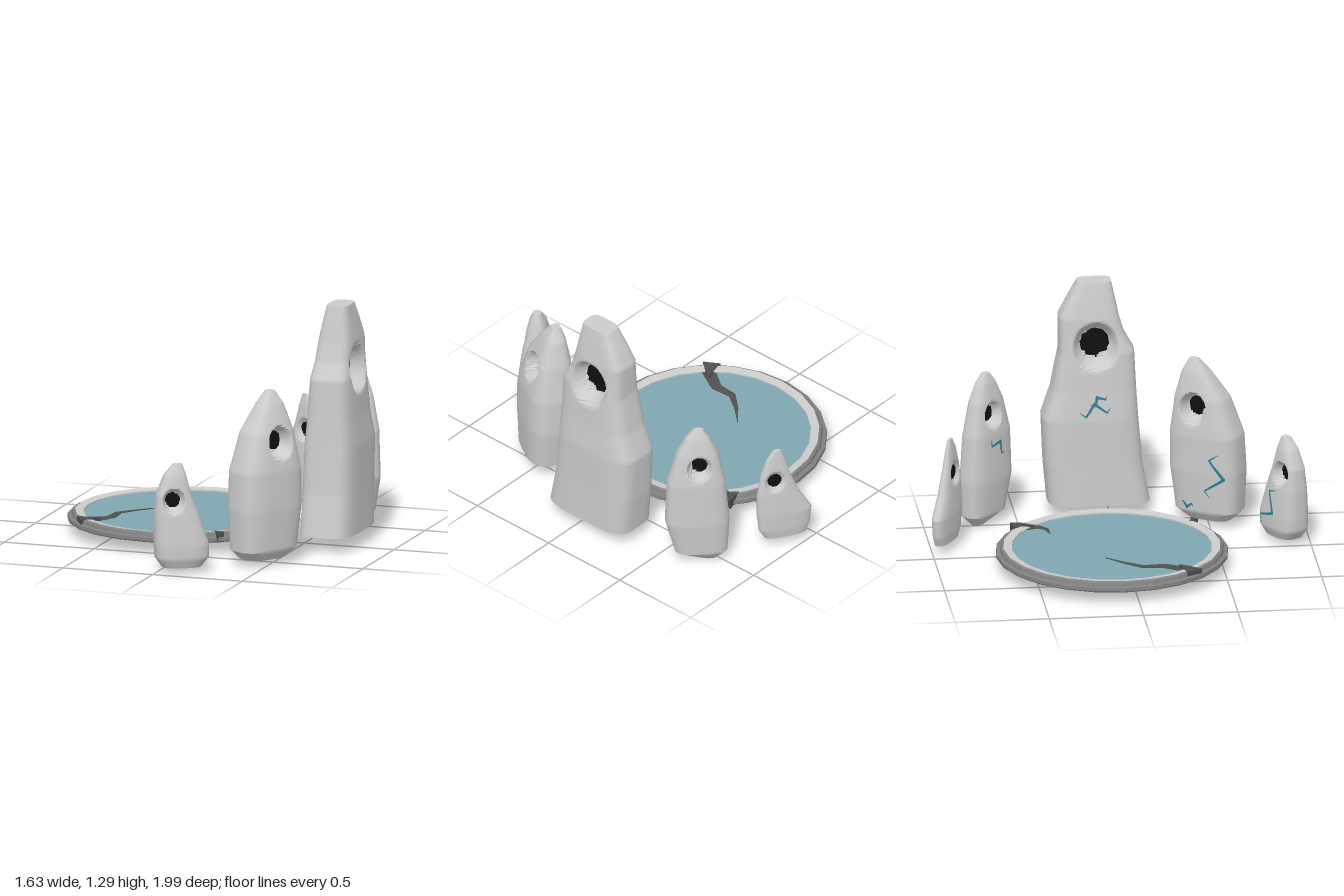
import * as THREE from 'three';
import { toCreasedNormals } from 'three/addons/utils/BufferGeometryUtils.js';

const paint = (color, extra = {}) => new THREE.MeshStandardMaterial({ color, ...extra });
const GREY = paint(0xcccccc);
const DARK = paint(0x505050);
const BLACK = paint(0x101010);
const WATER = paint(0x7fa6b1);
const TEAL = paint(0x2f7f92, { side: THREE.DoubleSide });

function add(parent, name, geometry, material) {
  const mesh = new THREE.Mesh(geometry, material);
  mesh.name = name;
  parent.add(mesh);
  return mesh;
}

function indexedGeometry(pos, index) {
  const g = new THREE.BufferGeometry();
  g.setAttribute('position', new THREE.Float32BufferAttribute(pos, 3));
  g.setIndex(index);
  return g;
}

const spow = (v, e) => Math.sign(v) * Math.abs(v) ** e;

// Section of a stone at a height: the outline rows are [y, uMin, uMax],
// and the thickness follows the width
function sectionAt({ rows, depth, lean }, y) {
  let i = 0;
  while (i < rows.length - 2 && y > rows[i + 1][0]) i++;
  const t = THREE.MathUtils.clamp((y - rows[i][0]) / (rows[i + 1][0] - rows[i][0]), 0, 1);
  const u0 = THREE.MathUtils.lerp(rows[i][1], rows[i + 1][1], t);
  const u1 = THREE.MathUtils.lerp(rows[i][2], rows[i + 1][2], t);
  const widest = Math.max(...rows.map((r) => r[2] - r[1]));
  const n = lean * (y / rows.at(-1)[0]) ** 3;
  return { u: (u0 + u1) / 2, a: (u1 - u0) / 2, n, b: depth * ((u1 - u0) / widest) ** 0.85 };
}

// Standing stone: rounded-box sections, pinched from both faces around its eye
function stoneGeometry(stone) {
  const { rows, hole: [hu, hy, hr], round } = stone;
  const around = 80, heights = [];
  for (let i = 0; i < rows.length - 1; i++) {
    const y0 = rows[i][0], y1 = rows[i + 1][0], steps = Math.ceil((y1 - y0) / 0.014);
    for (let k = 0; k < steps; k++) heights.push(y0 + (y1 - y0) * k / steps);
  }
  heights.push(rows.at(-1)[0]);
  const hn = sectionAt(stone, hy).n, pos = [], index = [];
  for (const y of heights) {
    const s = sectionAt(stone, y);
    for (let j = 0; j < around; j++) {
      const t = j / around * Math.PI * 2;
      const u = s.u + s.a * spow(Math.cos(t), round);
      const n = s.n + s.b * spow(Math.sin(t), round);
      const d = Math.hypot(u - hu, (y - hy) * 0.9) / hr;
      const keep = 0.25 + 0.75 * THREE.MathUtils.smoothstep(d, 0.85, 1.5);
      pos.push(u, y, hn + (n - hn) * keep);
    }
  }
  const last = heights.length - 1, base = heights.length * around;
  for (const y of [heights[0], heights[last]]) {
    const s = sectionAt(stone, y);
    pos.push(s.u, y, s.n);
  }
  for (let j = 0; j < around; j++) {
    const k = (j + 1) % around;
    for (let i = 0; i < last; i++) {
      const a = i * around + j, b = i * around + k, c = a + around, d = b + around;
      index.push(a, c, b, b, c, d);
    }
    index.push(base, j, k, base + 1, last * around + k, last * around + j);
  }
  return toCreasedNormals(indexedGeometry(pos, index), 0.6);
}

// Tapering zigzag vein on the inner face of a stone, from one (u, y) point to another
function veinGeometry(stone, [u0, y0, u1, y1]) {
  const steps = 24, pos = [], index = [], len = Math.hypot(u1 - u0, y1 - y0);
  const du = (y0 - y1) / len, dy = (u1 - u0) / len;
  for (let i = 0; i <= steps; i++) {
    const t = i / steps, zigzag = 0.12 * len * Math.asin(Math.sin(t * 9));
    const w = 0.002 + 0.009 * Math.sin(Math.PI * t);
    for (const off of [zigzag - w, zigzag + w]) {
      const u = u0 + (u1 - u0) * t + du * off, y = y0 + (y1 - y0) * t + dy * off;
      const s = sectionAt(stone, y), x = Math.min(1, Math.abs((u - s.u) / s.a));
      pos.push(u, y, s.n - s.b * (1 - x ** (2 / stone.round)) ** (stone.round / 2) - 0.004);
    }
    if (i < steps) index.push(2 * i, 2 * i + 1, 2 * i + 2, 2 * i + 1, 2 * i + 3, 2 * i + 2);
  }
  const g = indexedGeometry(pos, index);
  g.computeVertexNormals();
  return g;
}

// u runs along the stone, n through it; hole is [u, y, radius]
function buildStone(name, x, z, turn, stone) {
  const group = new THREE.Group();
  group.name = name;
  group.position.set(x, 0, z);
  group.rotation.y = THREE.MathUtils.degToRad(turn);
  add(group, 'stoneBody', stoneGeometry(stone), GREY);
  const [u, y, r] = stone.hole, s = sectionAt(stone, y);
  const eye = new THREE.CylinderGeometry(r, r, s.b * 0.56, 12).rotateX(Math.PI / 2);
  add(group, 'stoneHole', eye, BLACK).position.set(u, y, s.n);
  stone.veins.forEach((v) => add(group, 'stoneVein', veinGeometry(stone, v), TEAL));
  return group;
}

// Pool crack: a band along (x, z) points that narrows to a tip, cut as a flat plate
function poolCrack(parent, name, points, width, bottom, top) {
  const left = [], right = [];
  points.forEach(([x, z], i) => {
    const p = points[Math.max(i - 1, 0)], q = points[Math.min(i + 1, points.length - 1)];
    const len = Math.hypot(q[0] - p[0], q[1] - p[1]);
    const w = width * (1 - i / (points.length - 1)) + 0.002;
    const dx = -w * (q[1] - p[1]) / len, dz = w * (q[0] - p[0]) / len;
    left.push(new THREE.Vector2(x + dx, z + dz));
    right.unshift(new THREE.Vector2(x - dx, z - dz));
  });
  const g = new THREE.ExtrudeGeometry(new THREE.Shape([...left, ...right]),
    { depth: top - bottom, bevelEnabled: false }).rotateX(Math.PI / 2);
  add(parent, name, g, DARK).position.y = top;
}

function buildPool() {
  const pool = new THREE.Group();
  pool.name = 'pool';
  const lathe = (pts) => new THREE.LatheGeometry(pts.map(([r, y]) => new THREE.Vector2(r, y)), 24)
    .translate(-0.2, 0, -0.08);
  // Stepped rim and its paler inner lip
  add(pool, 'outerRim', lathe([[0.575, 0.064], [0.61, 0.064], [0.616, 0.07], [0.614, 0.088], [0.594, 0.092],
    [0.588, 0.108], [0.575, 0.115]]), paint(0x808080, { flatShading: true }));
  add(pool, 'innerRim', lathe([[0.575, 0.115], [0.53, 0.108], [0.53, 0.066], [0.575, 0.064]]),
    paint(0xcccccc, { flatShading: true }));
  add(pool, 'water', new THREE.CylinderGeometry(0.535, 0.535, 0.032, 24), WATER).position.set(-0.2, 0.084, -0.08);
  // Cracks through the water plate and across the rim
  poolCrack(pool, 'longCrack', [[-0.6, 0.29], [-0.52, 0.16], [-0.52, 0.05], [-0.45, -0.04], [-0.36, -0.13]],
    0.035, 0.066, 0.103);
  poolCrack(pool, 'longCrackRim', [[-0.65, 0.31], [-0.6, 0.28], [-0.55, 0.24]], 0.045, 0.063, 0.117);
  poolCrack(pool, 'shortCrack', [[0.15, -0.51], [0.16, -0.43], [0.12, -0.39], [0.05, -0.38]], 0.03, 0.066, 0.103);
  poolCrack(pool, 'shortCrackRim', [[0.16, -0.565], [0.17, -0.52], [0.15, -0.45]], 0.045, 0.063, 0.117);
  poolCrack(pool, 'rimChip', [[0.17, 0.4], [0.15, 0.385], [0.13, 0.37]], 0.02, 0.063, 0.117);
  return pool;
}

export function createModel() {
  const model = new THREE.Group();
  model.name = 'stoneCircle';
  model.add(buildPool());
  model.add(buildStone('frontSmallStone', 0.11, 0.87, 30, {
    depth: 0.095, lean: 0, round: 0.7, hole: [-0.045, 0.39, 0.043],
    rows: [[0.03, -0.1, 0.11], [0.08, -0.135, 0.15], [0.15, -0.14, 0.15], [0.3, -0.14, 0.1],
      [0.42, -0.13, 0.055], [0.52, -0.09, 0.03], [0.58, -0.04, 0.01]],
    veins: [[-0.04, 0.3, 0.07, 0.09]],
  }));
  model.add(buildStone('frontTallStone', 0.455, 0.505, 58, {
    depth: 0.13, lean: -0.04, round: 0.65, hole: [0.04, 0.65, 0.055],
    rows: [[0.03, -0.14, 0.1], [0.08, -0.19, 0.17], [0.3, -0.2, 0.2], [0.5, -0.19, 0.2],
      [0.7, -0.12, 0.17], [0.84, -0.02, 0.13], [0.91, 0.04, 0.09]],
    veins: [[-0.12, 0.42, -0.08, 0.17], [0.03, 0.11, 0.1, 0.12]],
  }));
  model.add(buildStone('centralStone', 0.66, -0.08, 90, {
    depth: 0.15, lean: 0.015, round: 0.5, hole: [0, 0.95, 0.085],
    rows: [[0.08, -0.29, 0.25], [0.3, -0.25, 0.27], [0.55, -0.23, 0.28], [0.7, -0.22, 0.23],
      [0.91, -0.21, 0.19], [1, -0.16, 0.19], [1.1, -0.13, 0.19], [1.2, -0.11, 0.14], [1.29, -0.09, 0.09]],
    veins: [[0.09, 0.6, -0.07, 0.63], [0.03, 0.64, -0.05, 0.69]],
  }));
  model.add(buildStone('backTallStone', 0.57, -0.665, 135, {
    depth: 0.085, lean: 0, round: 0.7, hole: [0.01, 0.61, 0.047],
    rows: [[0, 0.03, 0.1], [0.06, -0.12, 0.16], [0.25, -0.17, 0.17], [0.5, -0.16, 0.15],
      [0.68, -0.11, 0.11], [0.78, -0.06, 0.065], [0.83, -0.02, 0.03]],
    veins: [[0.05, 0.48, -0.06, 0.4]],
  }));
  model.add(buildStone('backSmallStone', 0.17, -0.91, 150, {
    depth: 0.045, lean: 0, round: 0.75, hole: [-0.045, 0.41, 0.042],
    rows: [[0.05, -0.1, 0.13], [0.1, -0.13, 0.15], [0.2, -0.14, 0.16], [0.32, -0.14, 0.09],
      [0.45, -0.12, 0.04], [0.55, -0.085, 0.01], [0.6, -0.05, -0.01]],
    veins: [],
  }));
  return model;
}
